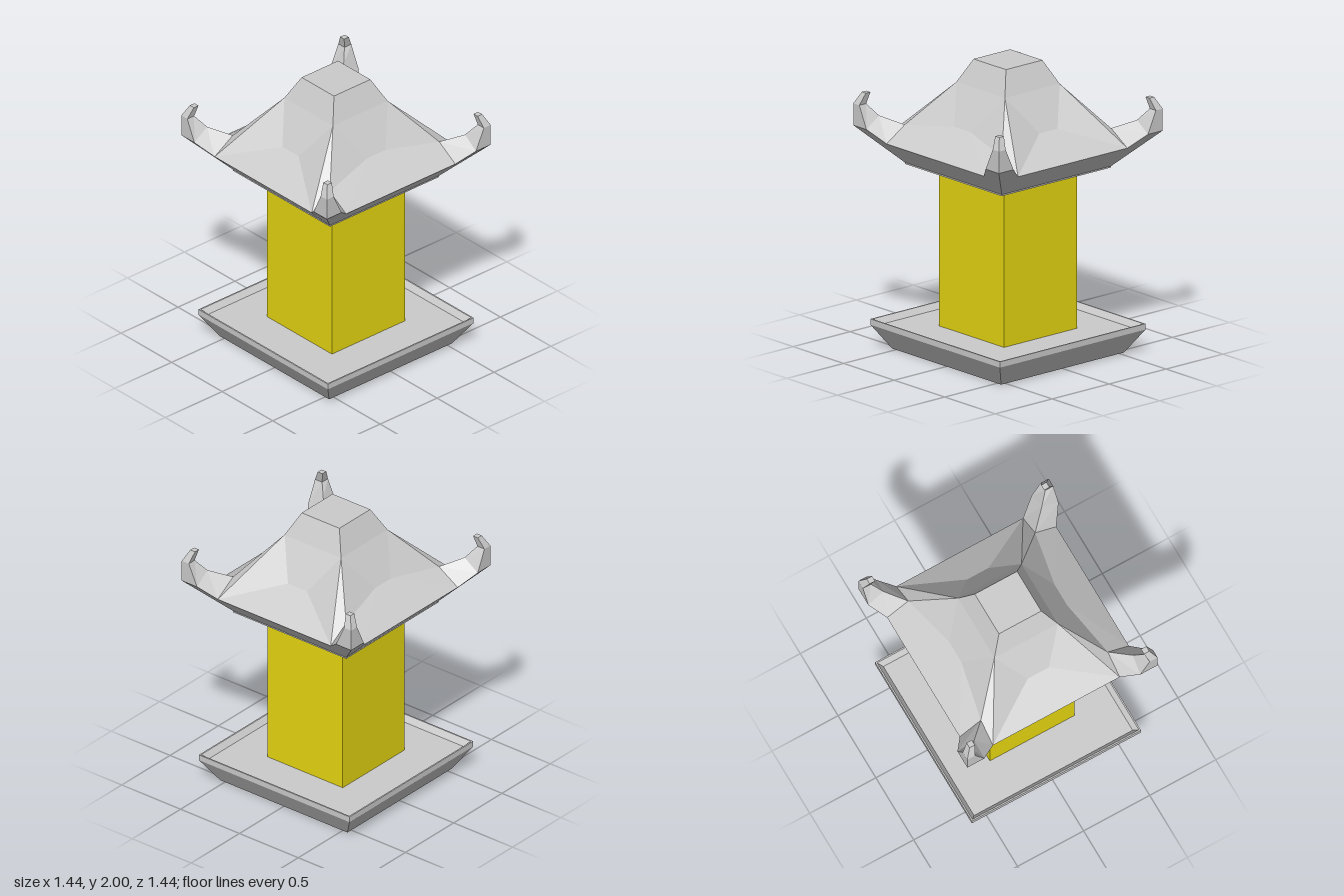
import * as THREE from 'three';

const grey = new THREE.MeshStandardMaterial({ color: 0xcccccc, flatShading: true, side: THREE.DoubleSide });
const yellow = new THREE.MeshStandardMaterial({ color: 0xe6d711, flatShading: true });

function named(name, geometry, material = grey) {
  const mesh = new THREE.Mesh(geometry, material);
  mesh.name = name;
  return mesh;
}

// Square solid from a profile of [half width, y], bottom to top
function squareLathe(profile) {
  const points = profile.map(([h, y]) => new THREE.Vector2(h * Math.SQRT2, y));
  return new THREE.LatheGeometry(points, 4, Math.PI / 4);
}

// Quads with anticlockwise corners, each split from its first to its third corner
function quadGeometry(quads) {
  const positions = quads.flatMap(([a, b, c, d]) => [a, b, c, a, c, d].flat());
  const geometry = new THREE.BufferGeometry();
  geometry.setAttribute('position', new THREE.Float32BufferAttribute(positions, 3));
  geometry.computeVertexNormals();
  return geometry;
}

const mirror = ([x, y, z]) => [-x, y, z];

// One side of the roof, facing +z; the dished slope folds differently on alternate sides
function roofSide(foldToRidge) {
  const top = [0.16, 2, 0.16];
  const neck = [0.24, 1.84, 0.24];
  const fold = [0.08, 1.6, 0.4];
  const eave = [0.48, 1.44, 0.64];
  const ridge = [0.48, 1.54, 0.48];
  const under = [0.48, 1.28, 0.48];
  const quads = [];
  // Bands spanning the full width, top to underside
  for (const [hi, lo] of [[top, neck], [neck, fold], [fold, eave], [eave, under]]) {
    quads.push([mirror(lo), lo, hi, mirror(hi)]);
  }
  // Side slopes between the fold and the corner ridge
  const slope = foldToRidge ? [fold, eave, ridge, neck] : [eave, ridge, neck, fold];
  quads.push(slope, slope.map(mirror).reverse());
  if (!foldToRidge) {
    // Keep the mirrored split on the same diagonal
    quads[quads.length - 1] = [neck, ridge, eave, fold].map(mirror);
  } else {
    quads[quads.length - 1] = [ridge, eave, fold, neck].map(mirror);
  }
  return quadGeometry(quads);
}

// Upturned corner horn at +x +z, lofted through four-cornered sections
function hornGeometry() {
  const square = (a, b, y) => [[a, y, a], [a, y, b], [b, y, b], [b, y, a]];
  const sections = [
    [[0.48, 1.54, 0.48], [0.48, 1.44, 0.64], [0.48, 1.28, 0.48], [0.64, 1.44, 0.48]],
    [[0.6, 1.6, 0.6], [0.59, 1.53, 0.72], [0.72, 1.53, 0.72], [0.72, 1.53, 0.59]],
    square(0.66, 0.72, 1.68),
    square(0.64, 0.68, 1.76),
  ];
  const quads = [];
  for (let s = 0; s < sections.length - 1; s++) {
    const low = sections[s], high = sections[s + 1];
    for (let i = 0; i < 4; i++) {
      const j = (i + 1) % 4;
      // Split symmetrically about the diagonal
      quads.push(i === 0 || i === 2
        ? [low[j], high[j], high[i], low[i]]
        : [low[i], low[j], high[j], high[i]]);
    }
  }
  // Order the loft outwards, then close the tip
  const outward = quads.map((q, n) => (n % 2 === 0 ? [q[3], q[0], q[1], q[2]] : q));
  outward.push(sections[3]);
  return quadGeometry(outward);
}

export function createModel() {
  const model = new THREE.Group();
  model.name = 'lantern';

  // Tray with a thin raised rim
  model.add(named('baseTray', squareLathe([
    [0, 0], [0.54, 0], [0.64, 0.16], [0.64, 0.2], [0.63, 0.2], [0.6, 0.16], [0, 0.16],
  ])));

  // Glowing body
  const body = named('lightBox', new THREE.BoxGeometry(0.64, 1.12, 0.64), yellow);
  body.position.y = 0.72;
  model.add(body);

  // Recessed ceiling and its narrow lip
  model.add(named('ceilingLip', squareLathe([
    [0, 1.282], [0.455, 1.282], [0.455, 1.27], [0.48, 1.27], [0.48, 1.285],
  ])));

  // Roof sides and corner horns
  const roof = new THREE.Group();
  roof.name = 'roof';
  const horn = hornGeometry();
  for (let k = 0; k < 4; k++) {
    const side = named('roofSide', roofSide(k % 2 === 0));
    const corner = named('cornerHorn', horn);
    side.rotation.y = corner.rotation.y = k * Math.PI / 2;
    roof.add(side, corner);
  }
  const cap = named('roofCap', new THREE.PlaneGeometry(0.32, 0.32));
  cap.rotation.x = -Math.PI / 2;
  cap.position.y = 2;
  roof.add(cap);
  model.add(roof);

  return model;
}
